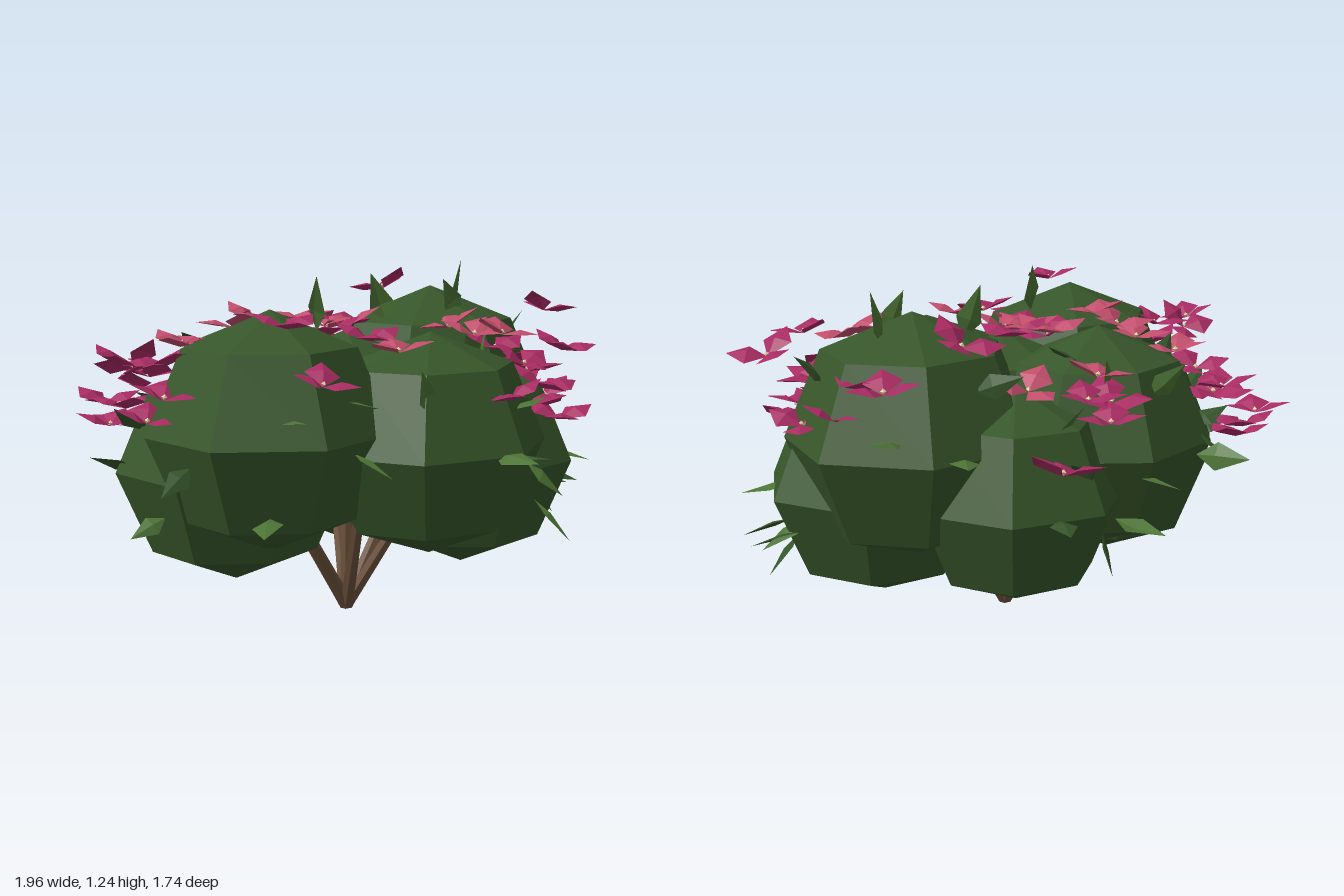
import * as THREE from 'three';

const mat = (color, side = THREE.FrontSide) =>
  new THREE.MeshStandardMaterial({ color, side, flatShading: true });

// Small seeded generator
function seeded(seed) {
  return () => {
    seed = (seed * 1664525 + 1013904223) % 4294967296;
    return seed / 4294967296;
  };
}

// Pointed kite with a raised middle, growing along +z from the origin
function kite(width, length, bulge, widest) {
  const base = [0, 0, 0], tip = [0, 0, length];
  const left = [width / 2, 0, length * widest], right = [-width / 2, 0, length * widest];
  const mid = [0, bulge, length * widest];
  const faces = [base, mid, left, left, mid, tip, tip, mid, right, right, mid, base];
  const geo = new THREE.BufferGeometry();
  geo.setAttribute('position', new THREE.Float32BufferAttribute(faces.flat(), 3));
  geo.computeVertexNormals();
  return geo;
}

// Foliage clumps: x, y, z, radius, turn, widening along x
const CLUMPS = [
  [-0.47, 0.72, 0.06, 0.405, 0.3, 1.06],
  [0.47, 0.73, 0.02, 0.42, Math.PI, 1.07],
  [0.01, 0.65, 0.36, 0.385, Math.PI / 2, 1.18],
  [0.42, 0.53, 0.21, 0.4, Math.PI / 2 + 0.4, 1.08],
  [-0.38, 0.56, -0.19, 0.4, 0.3, 1.06],
  [-0.1, 0.67, -0.33, 0.39, -Math.PI / 2 + 0.45, 1.08],
  [0.3, 0.54, -0.28, 0.37, 0.2, 1.04],
  [0, 0.68, 0, 0.34, 0, 1],
];

// Flowers seen from above: x, z, and a height where they stand off the foliage
const FLOWERS = [
  [-0.48, -0.74, 0.74], [-0.36, -0.67, 0.84], [-0.56, -0.54, 0.75], [-0.43, -0.6, 0.8],
  [-0.33, -0.5, 0.95], [-0.5, -0.48, 0.86], [-0.52, -0.67, 0.67], [-0.42, -0.7, 0.66],
  [-0.89, -0.2, 0.96], [-0.8, -0.24, 0.94], [-0.82, -0.08, 0.85], [-0.73, -0.15, 0.95], [-0.83, -0.15, 0.77],
  [-0.38, -0.3], [-0.28, -0.2, 1.06], [-0.15, -0.08], [0, -0.19], [0.03, -0.02], [-0.12, 0.02],
  [-0.28, -0.28], [-0.04, -0.05], [0.08, -0.1, 1.02],
  [0.15, -0.5], [0.2, -0.59, 0.88], [0.33, -0.68, 0.85], [0.34, -0.36], [0.53, -0.64, 0.72], [0.3, -0.57, 0.9],
  [0.69, -0.37, 1.11], [0.85, -0.2, 0.97], [0.77, -0.06, 0.95], [0.84, 0.01, 0.85],
  [0.9, 0.25, 1.04], [0.8, 0.21, 0.8], [0.28, 0.25, 1.02], [0.27, 0.36, 1], [0.4, 0.36, 0.94],
  [0.45, 0.46, 0.86], [0.36, 0.51, 0.9], [0.56, 0.36, 0.88], [0.62, 0.44, 0.75], [0.38, 0.58, 0.82],
  [0.3, 0.7, 0.97], [0.42, 0.53, 0.74], [0.35, 0.42, 1], [0.48, 0.38, 0.8], [0.36, 0.66, 0.72],
  [0, 0.69, 0.83], [-0.66, 0.3, 1.09], [-0.7, 0.48, 0.93], [-0.26, 0.43, 0.99], [-0.25, 0.3, 1.02],
];

// Height of the foliage surface over (x, z)
function foliageTop(x, z) {
  let best = 0;
  for (const [cx, cy, cz, r, , wide] of CLUMPS) {
    const d = Math.hypot((x - cx) / wide, z - cz);
    if (d < r) best = Math.max(best, cy + Math.sqrt(r * r - d * d));
  }
  return best;
}

const insideOther = (p, own) => CLUMPS.some(([x, y, z, r, , wide], i) =>
  i !== own && Math.hypot((p.x - x) / wide, p.y - y, p.z - z) < r * 0.95);

export function createModel() {
  const model = new THREE.Group();
  const rand = seeded(11);
  const up = new THREE.Vector3(0, 1, 0);
  const forward = new THREE.Vector3(0, 0, 1);

  // Stems fan out from one point on the ground
  const stems = new THREE.Group();
  stems.name = 'stems';
  const bark = mat(0x6b503a);
  for (let i = 0; i < 7; i++) {
    const a = i * Math.PI * 2 / 6 + 0.1;
    const reach = i === 6 ? 0 : 0.3;
    const dir = new THREE.Vector3(Math.cos(a) * reach, 0.44, Math.sin(a) * reach * 0.85);
    const length = dir.length();
    const geo = new THREE.CylinderGeometry(0.02, 0.026, length, 6);
    geo.translate(0, length / 2, 0);
    const stem = new THREE.Mesh(geo, bark);
    stem.name = 'stem';
    stem.quaternion.setFromUnitVectors(up, dir.normalize());
    stem.position.y = 0.015;
    stems.add(stem);
  }
  model.add(stems);

  // Faceted foliage clumps
  const foliage = new THREE.Group();
  foliage.name = 'foliage';
  const green = mat(0x37562a);
  for (const [x, y, z, r, turn, wide] of CLUMPS) {
    const clump = new THREE.Mesh(new THREE.SphereGeometry(r, 7, 4).rotateY(turn), green);
    clump.name = 'foliageClump';
    clump.position.set(x, y, z);
    clump.scale.x = wide;
    foliage.add(clump);
  }
  model.add(foliage);

  // Loose leaves poking out of the clumps
  const leaves = new THREE.Group();
  leaves.name = 'leaves';
  const leafGeo = kite(0.09, 0.18, 0.012, 0.38);
  const leafMats = [mat(0x4c7335, THREE.DoubleSide), mat(0x35552a, THREE.DoubleSide)];
  const addLeaf = (pos, dir, size, i) => {
    const leaf = new THREE.Mesh(leafGeo, leafMats[i % 2]);
    leaf.name = 'leaf';
    leaf.position.copy(pos);
    leaf.quaternion.setFromUnitVectors(forward, dir);
    leaf.rotateZ((rand() - 0.5) * 0.8);
    leaf.scale.setScalar(size);
    leaves.add(leaf);
  };
  CLUMPS.slice(0, 7).forEach(([x, y, z, r, , wide], own) => {
    for (let i = 0; i < 15; i++) {
      const a = rand() * Math.PI * 2, h = rand() * 1.4 - 0.5;
      const flat = Math.sqrt(1 - h * h);
      const n = new THREE.Vector3(Math.cos(a) * flat, h, Math.sin(a) * flat);
      const pos = n.clone().multiplyScalar(r * 0.84);
      pos.x *= wide;
      pos.add(new THREE.Vector3(x, y, z));
      const dir = n.clone();
      dir.x += (rand() - 0.5) * 1.4;
      dir.y += (rand() - 0.5) * 0.8;
      dir.z += (rand() - 0.5) * 1.4;
      const size = 0.8 + rand() * 0.25;
      if (!insideOther(pos, own)) addLeaf(pos, dir.normalize(), size, i);
    }
  });
  // Longest leaves along the outline: base position, then direction
  const outline = [
    [-0.19, 0.64, -0.68, -0.1, 0.05, -1], [0.05, 0.6, -0.6, 0.2, 0, -1],
    [0.21, 0.5, -0.62, 0, -0.1, -1], [-0.05, 0.65, 0.67, -0.2, 0, 1],
    [0.6, 1.05, 0.03, 0.3, 1, 0], [0.24, 1.02, 0.0, -0.3, 1, -0.2],
    [-0.28, 1.04, 0.1, 0.35, 1, -0.3], [0.7, 0.44, 0.3, 1, -0.4, 0.2],
    [0.37, 0.42, 0.56, 0.1, -0.6, 0.6], [-0.72, 0.5, 0.28, -0.8, -0.1, 0.6],
    [0.66, 0.75, -0.35, 0.6, 0.1, -0.6], [0.68, 0.55, 0.38, 0.4, -0.2, 0.7],
  ];
  outline.forEach(([x, y, z, ...d], i) =>
    addLeaf(new THREE.Vector3(x, y, z), new THREE.Vector3(...d).normalize(), 1.1, i - i % 2));
  model.add(leaves);

  // Flowers: three broad petals round a tiny pale centre
  const flowers = new THREE.Group();
  flowers.name = 'flowers';
  const petalGeo = kite(0.125, 0.14, 0.018, 0.5);
  const petalMats = [0xa82b62, 0xc14d6c].map(c => mat(c, THREE.DoubleSide));
  const centreGeo = new THREE.OctahedronGeometry(0.01);
  const centreMat = mat(0xe8d9a0);
  FLOWERS.forEach(([x, z, y = foliageTop(x, z) + 0.01], i) => {
    const flower = new THREE.Group();
    flower.name = 'flower';
    const pale = Math.hypot(x, z) < 0.62 && i % 3 > 0;
    for (let k = 0; k < 3; k++) {
      const petal = new THREE.Mesh(petalGeo, petalMats[pale ? 1 : 0]);
      petal.name = 'petal';
      petal.rotation.set(-0.32, k * Math.PI * 2 / 3, 0, 'YXZ');
      flower.add(petal);
    }
    const centre = new THREE.Mesh(centreGeo, centreMat);
    centre.name = 'flowerCentre';
    centre.position.y = 0.012;
    flower.add(centre);
    flower.position.set(x, y, z);
    flower.rotation.set((rand() - 0.5) * 0.5 + z * 0.2, rand() * 6.28, (rand() - 0.5) * 0.5 - x * 0.2);
    flower.scale.setScalar(0.88 + rand() * 0.17);
    flowers.add(flower);
  });
  model.add(flowers);

  return model;
}
